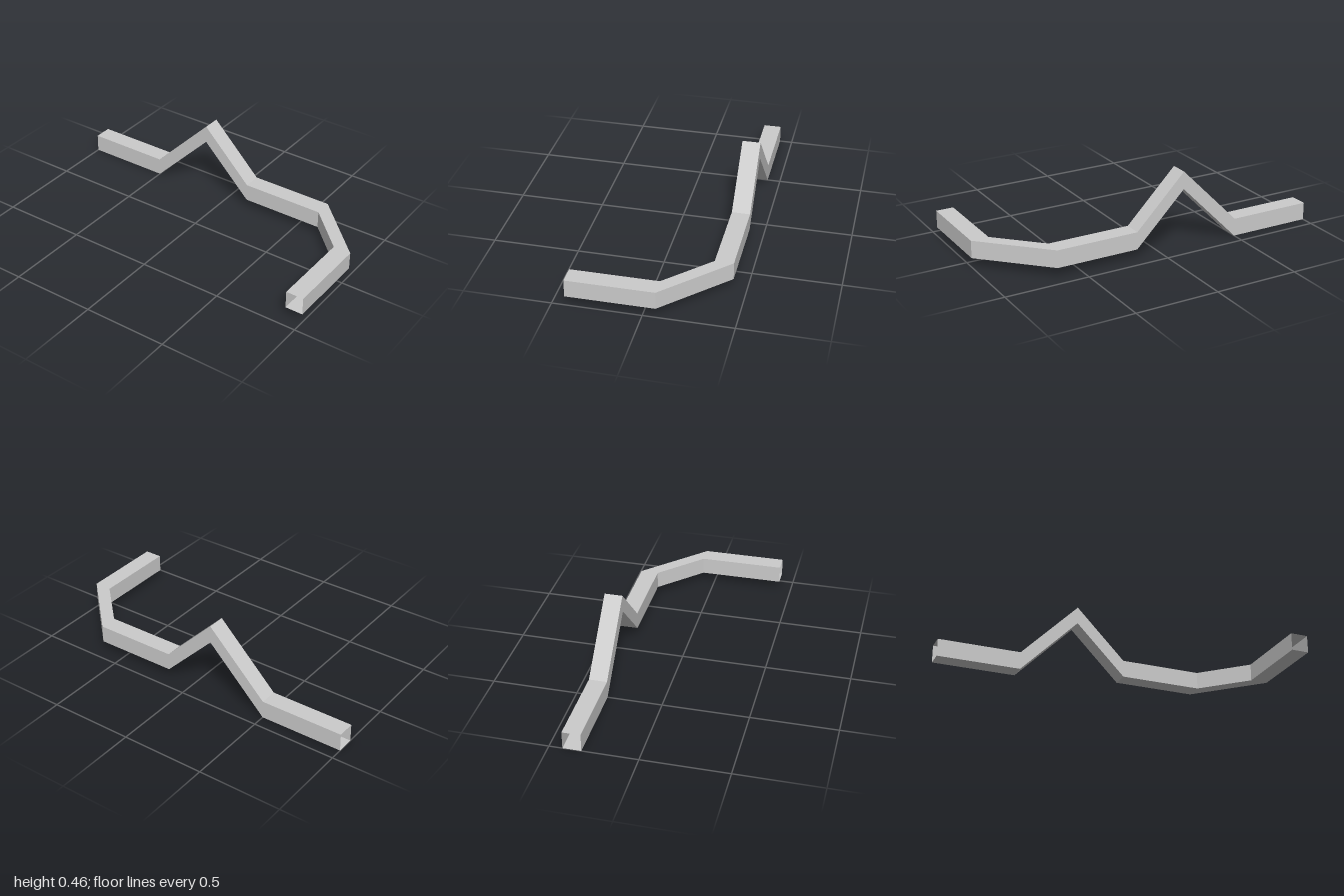
import * as THREE from 'three';

// Square section spanning two opposite plan corners: inner (xi, zi), outer (xo, zo).
// Corner order: inner bottom, outer bottom, outer top, inner top.
const section = (xi, zi, xo, zo, y0, y1) => [
  [xi, y0, zi], [xo, y0, zo], [xo, y1, zo], [xi, y1, zi],
];

// Open-ended tube joining one section to the next with flat walls
function squareTube(sections) {
  const positions = [];
  for (let i = 0; i < sections.length - 1; i++) {
    const a = sections[i], b = sections[i + 1];
    for (let k = 0; k < 4; k++) {
      const n = (k + 1) % 4;
      for (const p of [a[k], b[k], b[n], a[k], b[n], a[n]]) positions.push(...p);
    }
  }
  const geometry = new THREE.BufferGeometry();
  geometry.setAttribute('position', new THREE.Float32BufferAttribute(positions, 3));
  geometry.computeVertexNormals();
  return geometry;
}

export function createModel() {
  const group = new THREE.Group();
  group.name = 'bentTube';

  const xi = 0.318, xo = 0.424; // long run
  const zi = 0.895, zo = 1; // front arm
  const low = 0.056, high = 0.16;

  const sections = [
    section(-0.426, zi, -0.426, zo, low, high), // free end of the front arm
    section(0.073, zi, 0.073, zo, low, high), // start of the diagonal
    section(xi, 0.65, xo, 0.65, low, high), // start of the long run
    // the hump, then the lower rear end
    ...[[0.154, low, high], [-0.146, 0.358, 0.463], [-0.5, 0, 0.106], [-1, 0, 0.106]]
      .map(([z, y0, y1]) => section(xi, z, xo, z, y0, y1)),
  ];

  const material = new THREE.MeshStandardMaterial({
    color: 0xcccccc, flatShading: true, side: THREE.DoubleSide,
  });
  const tube = new THREE.Mesh(squareTube(sections), material);
  tube.name = 'tubeWalls';
  group.add(tube);
  return group;
}
